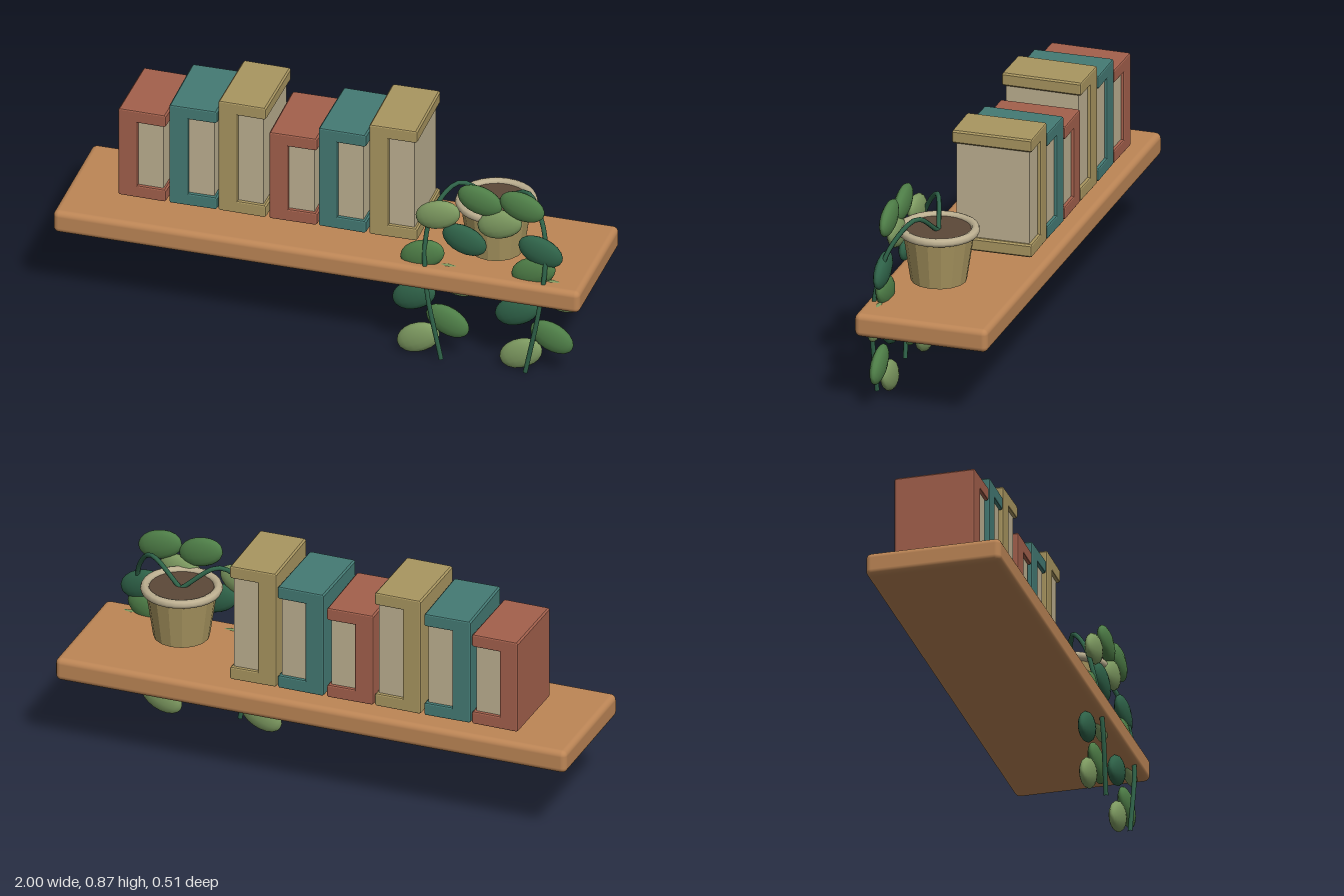
import * as THREE from 'three';
import { RoundedBoxGeometry } from 'three/addons/geometries/RoundedBoxGeometry.js';

function material(name, color, flatShading = false) {
  const m = new THREE.MeshStandardMaterial({ color, flatShading });
  m.name = name;
  return m;
}

export function createModel() {
  const wood = material('wood', 0xbd8656);
  const red = material('brick red', 0xa3604c);
  const teal = material('teal', 0x447a74);
  const ochre = material('ochre', 0xa99660, true);
  const cream = material('cream', 0xbdb091);
  const soilBrown = material('soil brown', 0x5c4838);
  const midGreen = material('mid green', 0x4f7f48);
  const lightGreen = material('light green', 0x7f9c62);
  const darkGreen = material('dark green', 0x2f6349);

  const model = new THREE.Group();
  model.name = 'bookShelfWithPlant';
  const add = (parent, name, geometry, mat, x = 0, y = 0, z = 0) => {
    const mesh = new THREE.Mesh(geometry, mat);
    mesh.name = name;
    mesh.position.set(x, y, z);
    parent.add(mesh);
    return mesh;
  };

  // Shelf board
  add(model, 'shelf', new RoundedBoxGeometry(2, 0.09, 0.51, 3, 0.022), wood, 0, 0.345, 0);

  // Books: C-shaped cover around a recessed page block
  const width = 0.182, depth = 0.305, spine = 0.073, board = 0.05, bevel = 0.008;
  const books = new THREE.Group();
  books.name = 'books';
  model.add(books);
  const covers = [red, teal, ochre];
  for (let i = 0; i < 6; i++) {
    const height = 0.365 + 0.049 * (i % 3);
    const book = new THREE.Group();
    book.name = 'book' + (i + 1);
    book.position.set(-0.704 + i * 0.19, 0.41, -0.05);
    book.rotation.y = (i % 2 ? 1 : -1) * 0.012;
    books.add(book);

    const h = width / 2, c = 0.006;
    const profile = new THREE.Shape([
      [-h + c, 0], [h - c, 0], [h, c], [h, board - c], [h - c, board],
      [-h + spine, board], [-h + spine, height - board],
      [h - c, height - board], [h, height - board + c], [h, height - c], [h - c, height],
      [-h + c, height], [-h, height - c], [-h, c],
    ].map(([x, y]) => new THREE.Vector2(x, y)));
    const cover = new THREE.ExtrudeGeometry(profile, {
      depth: depth - 2 * bevel, bevelEnabled: true, bevelThickness: bevel,
      bevelSize: 0.005, bevelOffset: -0.005, bevelSegments: 2,
    });
    cover.translate(0, 0, -depth / 2 + bevel);
    add(book, 'cover', cover, covers[i % 3]);

    const left = -h + spine - 0.015, right = h - 0.013;
    add(book, 'pages', new THREE.BoxGeometry(right - left, height - 2 * board + 0.02, depth - 0.026),
      cream, (left + right) / 2, height / 2, 0);
  }

  // Pot with rolled rim and soil
  const plant = new THREE.Group();
  plant.name = 'pottedPlant';
  model.add(plant);
  const px = 0.626, pz = 0.054;
  add(plant, 'pot', new THREE.CylinderGeometry(0.132, 0.103, 0.19, 16), ochre, px, 0.505, pz);
  const rim = add(plant, 'potRim', new THREE.TorusGeometry(0.134, 0.017, 8, 28), cream, px, 0.605, pz);
  rim.rotation.x = Math.PI / 2;
  add(plant, 'soil', new THREE.CylinderGeometry(0.125, 0.125, 0.012, 28), soilBrown, px, 0.602, pz);

  // Two mirrored stems arching out of the pot and hanging in front
  for (const side of [-1, 1]) {
    const path = new THREE.CatmullRomCurve3([
      [0, 0.6, 0.053], [0.13, 0.687, 0.1], [0.205, 0.605, 0.166],
      [0.228, 0.49, 0.205], [0.215, 0.3, 0.236], [0.16, 0.012, 0.236],
    ].map(([x, y, z]) => new THREE.Vector3(px + 0.004 + side * x, y, z)));
    add(plant, side < 0 ? 'rightStem' : 'leftStem', new THREE.TubeGeometry(path, 32, 0.009, 7), darkGreen);
  }

  // Leaves alternate from side to side down each stem
  const leafGeometry = new THREE.SphereGeometry(1, 14, 10);
  leafGeometry.rotateZ(Math.PI / 2);
  leafGeometry.scale(0.087, 0.058, 0.026);
  const greens = [midGreen, lightGreen, darkGreen];
  const strands = {
    rightLeaf: [0.607, 0.447, 0.548, 0.388, 0.511, 0.356, 0.484, 0.372],
    leftLeaf: [0.767, 0.682, 0.837, 0.81, 0.906, 0.746, 0.88, 0.762],
  };
  for (const [name, xs] of Object.entries(strands)) {
    xs.forEach((x, i) => {
      const leaf = add(plant, name + (i + 1), leafGeometry, greens[i % 3], x, 0.685 - i * 0.0885, 0.197);
      leaf.rotation.z = (i % 2 ? 1 : -1) * (0.3 + 0.03 * i);
    });
  }
  return model;
}
